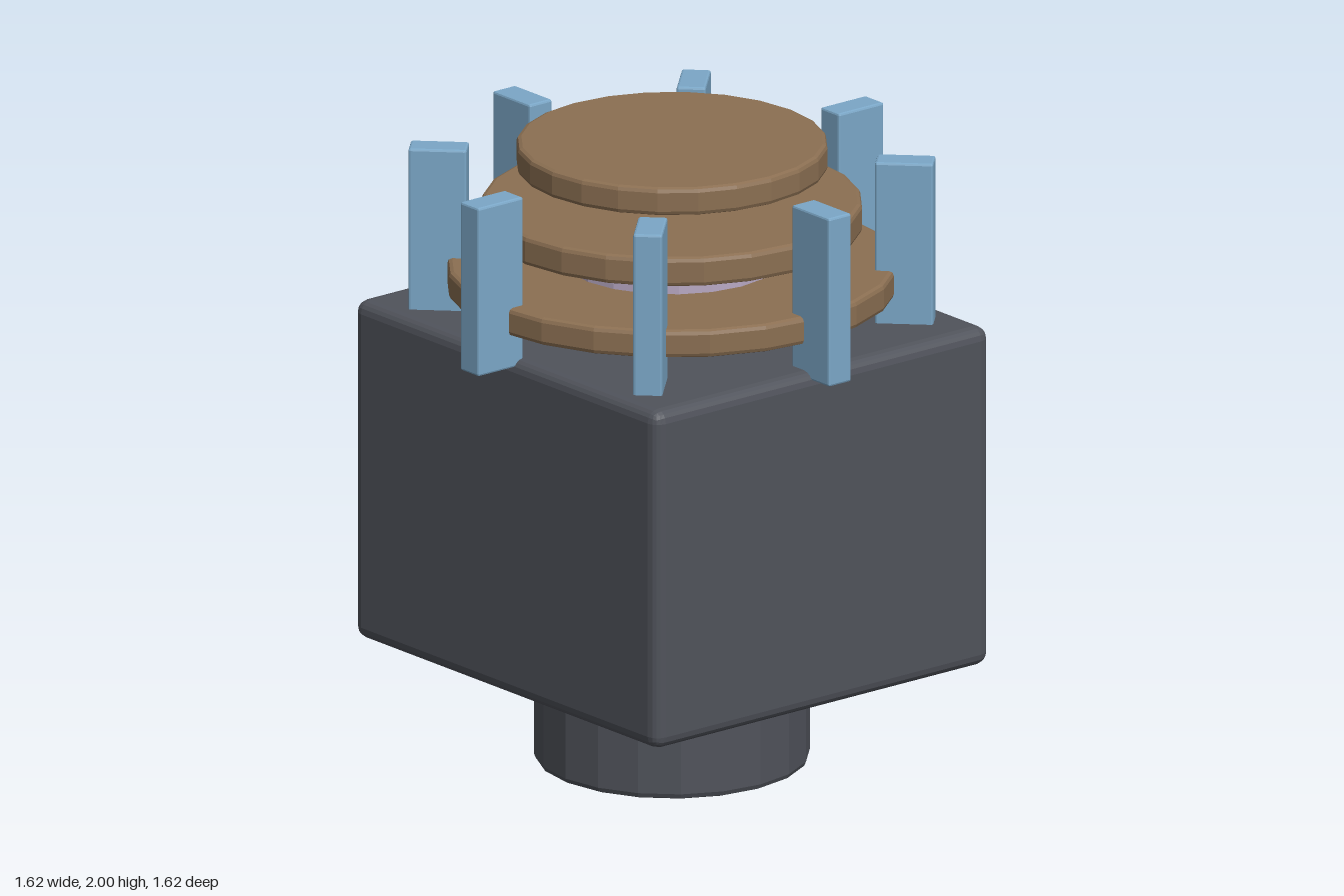
import * as THREE from 'three';
import { RoundedBoxGeometry } from 'three/addons/geometries/RoundedBoxGeometry.js';

export function createModel() {
  const group = new THREE.Group();
  const material = (name, color, flatShading = true) => {
    const m = new THREE.MeshStandardMaterial({ color, flatShading });
    m.name = name;
    return m;
  };
  const darkGrey = material('darkGrey', 0x50535b);
  const brown = material('brown', 0x8b6f52);
  const blue = material('blue', 0x7ba7c7);
  const lavender = material('lavender', 0xb9a9c4);

  const add = (name, geometry, mat, y = 0) => {
    const mesh = new THREE.Mesh(geometry, mat);
    mesh.name = name;
    mesh.position.y = y;
    group.add(mesh);
    return mesh;
  };

  // Solid disc between two heights with chamfered rims
  const disc = (r, y0, y1, bevel, sides) => new THREE.LatheGeometry([
    [0, y0], [r - bevel, y0], [r - bevel * 0.3, y0 + bevel * 0.3], [r, y0 + bevel],
    [r, y1 - bevel], [r - bevel * 0.3, y1 - bevel * 0.3], [r - bevel, y1], [0, y1],
  ].map(([x, y]) => new THREE.Vector2(x, y)), sides);

  // Foot and main block
  add('foot', disc(0.425, 0, 0.36, 0.02, 20), darkGrey);
  add('body', new RoundedBoxGeometry(1.34, 1.095, 1.46, 2, 0.04), darkGrey, 0.892);

  // Core and the three stacked rings, narrowing upwards
  add('core', disc(0.335, 1.42, 1.715, 0.015, 20), lavender);
  [[0.695, 1.52, 1.61], [0.587, 1.715, 1.81], [0.48, 1.91, 2.0]].forEach(([r, y0, y1], i) =>
    add(`ring${i + 1}`, disc(r, y0, y1, 0.015, 24), brown));

  // Eight upright fins around the rings
  const finGeometry = new RoundedBoxGeometry(0.18, 0.545, 0.09, 1, 0.007);
  for (let i = 0; i < 8; i++) {
    const a = (i * Math.PI) / 4;
    const fin = add(`fin${i + 1}`, finGeometry, blue, 1.687);
    fin.position.x = 0.72 * Math.cos(a);
    fin.position.z = -0.72 * Math.sin(a);
    fin.rotation.y = a;
  }
  return group;
}
